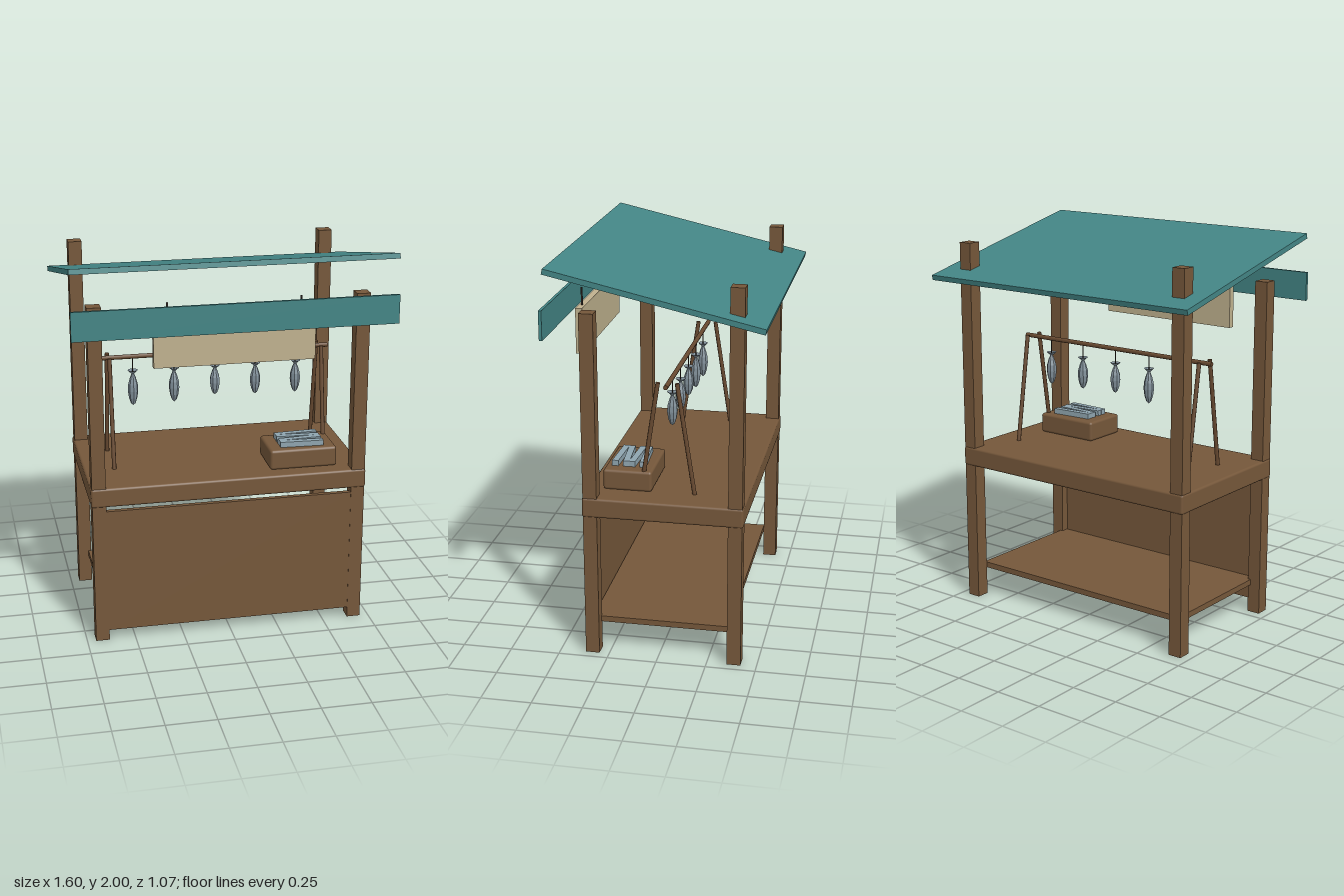
import * as THREE from 'three';
import { RoundedBoxGeometry } from 'three/addons/geometries/RoundedBoxGeometry.js';

const mat = (name, color, opts = {}) => {
  const m = new THREE.MeshStandardMaterial({ color, ...opts });
  m.name = name;
  return m;
};

export function createModel() {
  const wood = mat('wood', 0x75573a);
  const darkWood = mat('darkWood', 0x684a31);
  const teal = mat('tealCanvas', 0x438585);
  const cream = mat('creamBoard', 0xbfb18e);
  const silver = mat('fishSilver', 0x82919b, { flatShading: true });
  const paleSilver = mat('paleFish', 0x8fa5af);
  const cord = mat('cord', 0x3a3029);

  const model = new THREE.Group();
  model.name = 'fishStall';

  const add = (name, geometry, material, x = 0, y = 0, z = 0, parent = model) => {
    const mesh = new THREE.Mesh(geometry, material);
    mesh.name = name;
    mesh.position.set(x, y, z);
    parent.add(mesh);
    return mesh;
  };
  const box = (name, material, w, h, d, x, y, z) =>
    add(name, new THREE.BoxGeometry(w, h, d), material, x, y, z);

  // Round bar between two points
  const bar = (name, material, a, b, r, sides = 8) => {
    const from = new THREE.Vector3(...a), to = new THREE.Vector3(...b);
    const dir = to.clone().sub(from);
    const mesh = add(name, new THREE.CylinderGeometry(r, r, dir.length(), sides), material);
    mesh.position.copy(from).add(to).multiplyScalar(0.5);
    mesh.quaternion.setFromUnitVectors(new THREE.Vector3(0, 1, 0), dir.normalize());
    return mesh;
  };

  // Four posts, the back pair taller and poking through the roof
  for (const x of [-0.67, 0.67]) {
    box('frontPost', wood, 0.07, 1.77, 0.07, x, 0.885, 0.335);
    box('backPost', wood, 0.07, 1.93, 0.07, x, 0.965, -0.385);
  }

  // Counter, front panel and lower shelf
  add('counter', new RoundedBoxGeometry(1.42, 0.1, 0.8, 2, 0.012), wood, 0, 0.79, -0.025);
  box('frontPanel', wood, 1.27, 0.66, 0.025, 0, 0.385, 0.356);
  box('lowerShelf', wood, 1.3, 0.03, 0.69, 0, 0.165, -0.005);

  // Sloping roof and hanging valance
  const roof = box('roof', teal, 1.6, 0.027, 1.07, 0, 1.869, -0.009);
  roof.rotation.x = -0.2213;
  box('valance', teal, 1.6, 0.145, 0.015, 0, 1.7275, 0.528);

  // Sign board on two cords
  box('signBoard', cream, 0.8, 0.23, 0.034, 0, 1.595, 0.448);
  for (const x of [-0.33, 0.33]) bar('signCord', cord, [x, 1.7, 0.448], [x, 1.8, 0.448], 0.005, 6);

  // Drying rack: splayed legs and a top rod
  const rackZ = -0.025;
  for (const x of [-0.555, 0.555])
    for (const s of [-1, 1])
      bar('rackLeg', darkWood, [x, 0.835, rackZ + s * 0.135], [x, 1.405, rackZ + s * 0.047], 0.011);
  bar('rackRod', darkWood, [-0.6, 1.395, rackZ], [0.6, 1.395, rackZ], 0.012);

  // Hanging fish, tail up; profile goes from nose to tail over unit length
  const profile = [
    [0, 0], [0.012, 0.06], [0.022, 0.22], [0.027, 0.42], [0.025, 0.6],
    [0.016, 0.78], [0.007, 0.9], [0.027, 1], [0, 0.96],
  ];
  [0.19, 0.185, 0.16, 0.17, 0.175].forEach((length, i) => {
    const x = (i - 2) * 0.215;
    const points = profile.map(([r, t]) => new THREE.Vector2(r, t * length));
    const fish = add('hangingFish', new THREE.LatheGeometry(points, 8), silver, x, 1.322 - length, rackZ);
    fish.rotation.y = i * 0.5;
    bar('fishCord', cord, [x, 1.31, rackZ], [x, 1.39, rackZ], 0.003, 5);
  });

  // Crate with a row of fish laid on top
  add('crate', new RoundedBoxGeometry(0.35, 0.105, 0.245, 2, 0.014), wood, 0.4, 0.8925, 0.175);
  for (let i = 0; i < 4; i++) {
    const slab = box('laidFish', paleSilver, 0.225, 0.03, 0.032, 0.4, 0.958, 0.115 + i * 0.043);
    slab.rotation.y = [0.06, -0.05, 0.08, -0.04][i];
  }

  return model;
}
